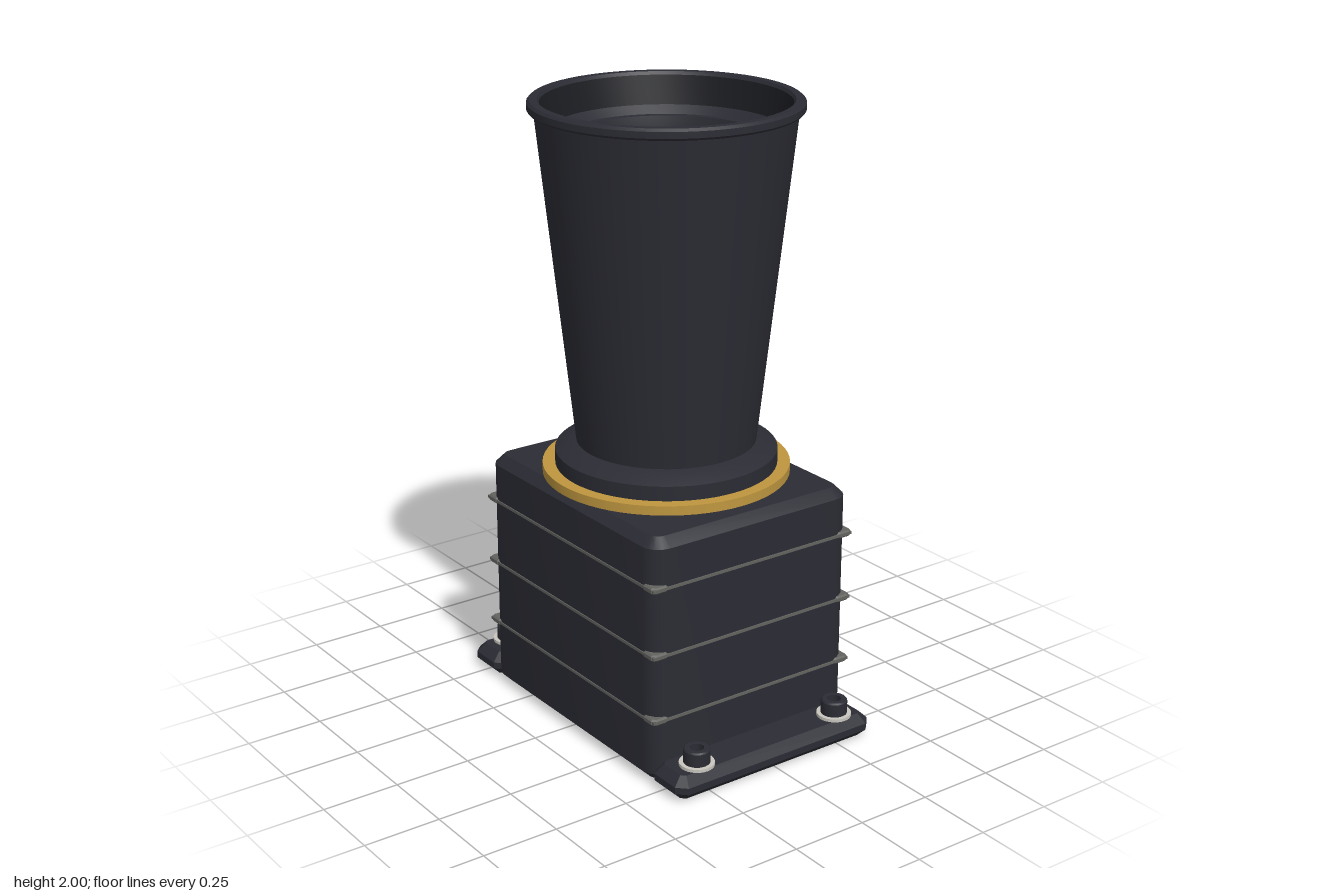
import * as THREE from 'three';
import { toCreasedNormals } from 'three/addons/utils/BufferGeometryUtils.js';

const mat = (name, color, side = THREE.FrontSide) => {
  const m = new THREE.MeshStandardMaterial({ color, side });
  m.name = name;
  return m;
};

export function createModel() {
  const black = mat('black anodised', 0x2b2c34);
  const dark = mat('dark steel', 0x1c1d22);
  const gold = mat('brass', 0xbe963f);
  const shellGrey = mat('light metal', 0xc8c6be);
  const plateGrey = mat('gasket grey', 0x62635f);
  const glass = mat('coated glass', 0x61556a);
  const CX = 0.018; // optical axis

  const root = new THREE.Group();
  root.name = 'lensCamera';
  const add = (name, geo, material, x = 0, y = 0, z = 0, parent = root) => {
    const m = new THREE.Mesh(geo, material);
    m.name = name;
    m.position.set(x, y, z);
    parent.add(m);
    return m;
  };
  const crease = (g) => toCreasedNormals(g, 0.5);

  // Closed outline with rounded (or, with one segment, chamfered) corners
  const outline = (w, d, r, seg) => {
    const pts = [];
    const corners = [[1, 1], [-1, 1], [-1, -1], [1, -1]];
    corners.forEach(([sx, sy], i) => {
      for (let k = 0; k <= seg; k++) {
        const a = (i + k / seg) * Math.PI / 2;
        pts.push(new THREE.Vector2(
          sx * (w / 2 - r) + r * Math.cos(a), sy * (d / 2 - r) + r * Math.sin(a)));
      }
    });
    return new THREE.Shape(pts);
  };
  // Bevelled slab lying flat, from y = 0 up to h
  const slab = (w, d, h, r, bevel, seg = 1) => {
    const g = new THREE.ExtrudeGeometry(outline(w, d, r, seg), {
      depth: h - 2 * bevel, bevelEnabled: true, bevelThickness: bevel,
      bevelSize: bevel, bevelOffset: -bevel, bevelSegments: 1 });
    g.translate(0, 0, bevel);
    g.rotateX(-Math.PI / 2);
    return crease(g);
  };

  // Housing with its bevelled top and bottom
  add('housing', slab(0.912, 0.756, 0.805, 0.06, 0.03, 4), black, CX, 0.006, 0);

  // Separator plates between the stacked sections, thicker at the corners
  [0.222, 0.437, 0.656].forEach((y) => {
    add('separatorPlate', new THREE.BoxGeometry(0.92, 0.009, 0.762), plateGrey, CX, y, 0);
    for (const sx of [-1, 1]) for (const sz of [-1, 1]) {
      add('separatorCorner', slab(0.062, 0.062, 0.021, 0.012, 0.005), plateGrey,
        CX + sx * 0.43, y - 0.0105, sz * 0.352);
    }
  });

  // Mounting feet, each with two bolts on washers
  const washerShape = new THREE.Shape().absarc(0, 0, 0.055, 0, Math.PI * 2, false);
  washerShape.holes.push(new THREE.Path().absarc(0, 0, 0.035, 0, Math.PI * 2, true));
  const washerGeo = new THREE.ExtrudeGeometry(washerShape,
    { depth: 0.01, bevelEnabled: false, curveSegments: 16 });
  washerGeo.rotateX(-Math.PI / 2);
  // Socket-head bolt turned around its own axis
  const boltGeo = crease(new THREE.LatheGeometry([
    [0.042, 0], [0.042, 0.042], [0.038, 0.047], [0.022, 0.047], [0.022, 0.02], [0, 0.02],
  ].map(([x, y]) => new THREE.Vector2(x, y)), 16));
  for (const s of [-1, 1]) {
    add(s < 0 ? 'rightFoot' : 'leftFoot', slab(0.165, 0.756, 0.078, 0.03, 0.028), black,
      CX + s * 0.511, 0.004, 0);
    for (const z of [-0.27, 0.27]) {
      add('bolt', boltGeo, black, CX + s * 0.528, 0.093, z);
      add('boltShank', new THREE.CylinderGeometry(0.03, 0.03, 0.03, 12), dark, CX + s * 0.528, 0.085, z);
      add('washer', washerGeo, shellGrey, CX + s * 0.528, 0.083, z);
    }
  }

  // Lens: brass ring, collar, flared hood with stepped inside, glass
  const lathe = (pts, seg = 64) => crease(new THREE.LatheGeometry(
    pts.map(([r, y]) => new THREE.Vector2(r, y)), seg));
  add('lensRing', lathe([[0, 0.815], [0.39, 0.815], [0.39, 0.845], [0, 0.845]]), gold, CX);
  add('lensSeat', new THREE.CylinderGeometry(0.33, 0.33, 0.02, 48), dark, CX, 0.81, 0);
  add('lensCollar', lathe([[0.35, 0.84], [0.35, 0.892], [0.29, 0.922], [0.2, 0.922]]), black, CX);
  add('lensHood', lathe([
    [0.282, 0.91], [0.398, 1.963], [0.412, 1.965], [0.418, 1.972], [0.418, 1.992],
    [0.41, 2], [0.386, 2], [0.38, 1.99],
  ]), black, CX);
  add('hoodLip', lathe([[0.38, 1.99], [0.36, 1.9]]), dark, CX);
  add('hoodBaffles', lathe([
    [0.36, 1.9], [0.335, 1.875], [0.312, 1.875], [0.305, 1.84], [0.285, 1.6], [0.28, 1.6],
    [0.27, 1.45], [0.264, 1.45], [0.254, 1.35], [0.248, 1.35], [0.222, 1.25],
  ]), black, CX);
  add('frontGlass', lathe([
    [0.224, 1.25], [0.17, 1.262], [0.09, 1.271], [0, 1.274],
  ]), glass, CX);

  // Connector on the right side, modelled facing up and then turned to -x
  const connector = new THREE.Group();
  connector.name = 'connector';
  connector.position.set(-0.436, 0.328, 0);
  connector.rotation.z = Math.PI / 2;
  root.add(connector);
  // Prism with a tapered outline; local x is world y, local y is world -x
  const dShape = (wTop, wLow, h) => new THREE.Shape([
    new THREE.Vector2(-h / 2, -wLow / 2), new THREE.Vector2(h / 2, -wTop / 2),
    new THREE.Vector2(h / 2, wTop / 2), new THREE.Vector2(-h / 2, wLow / 2)]);
  const prism = (shape, depth) => {
    const g = new THREE.ExtrudeGeometry(shape, { depth, bevelEnabled: false });
    g.rotateX(-Math.PI / 2);
    return g;
  };
  add('connectorGasket', new THREE.BoxGeometry(0.165, 0.012, 0.61), plateGrey, 0, 0.006, 0, connector);
  add('connectorFlange', new THREE.BoxGeometry(0.155, 0.012, 0.59), shellGrey, 0, 0.018, 0, connector);
  add('connectorShell', prism(dShape(0.47, 0.42, 0.145), 0.132), shellGrey, 0, 0.02, 0, connector);
  add('connectorInsert', prism(dShape(0.42, 0.37, 0.108), 0.14), dark, 0, 0.02, 0, connector);
  for (const z of [-0.27, 0.27]) {
    add('connectorScrew', new THREE.CylinderGeometry(0.022, 0.022, 0.042, 6), dark, 0, 0.042, z, connector);
  }
  // Two staggered rows of pins
  const pinGeo = new THREE.CylinderGeometry(0.007, 0.007, 0.03, 8);
  for (let i = 0; i < 13; i++) {
    add('pin', pinGeo, gold, i % 2 ? -0.016 : 0.016, 0.164, -0.16 + i * 0.02, connector);
  }
  return root;
}
